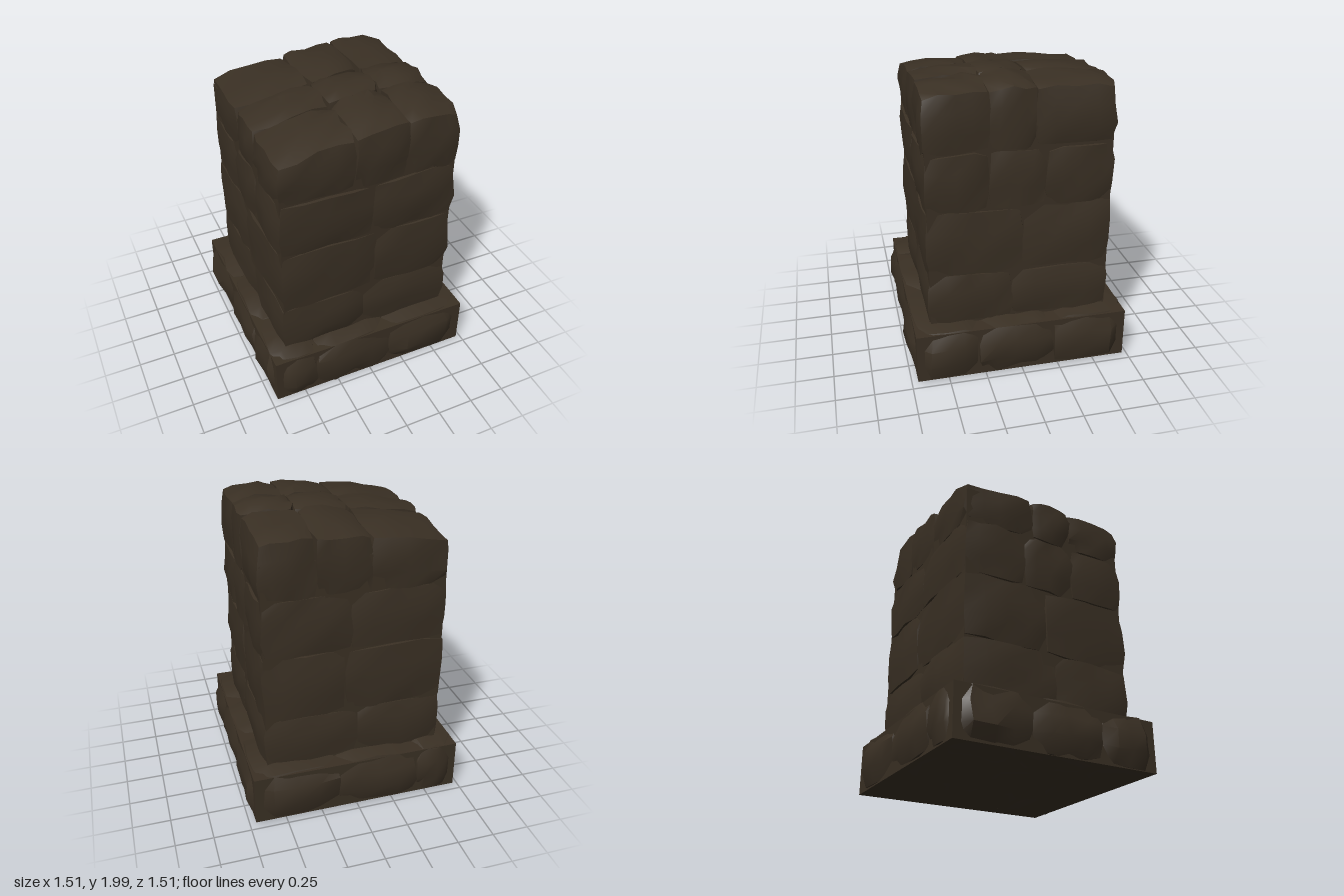
import * as THREE from 'three';
import { mergeVertices, toCreasedNormals } from 'three/addons/utils/BufferGeometryUtils.js';

const stoneMat = new THREE.MeshStandardMaterial({ color: 0x3a3024 });
stoneMat.name = 'dark brown stone';

export function createModel() {
  const group = new THREE.Group();
  group.name = 'stonePedestal';

  let seed = 17;
  const rand = () => {
    seed = (seed * 16807) % 2147483647;
    return (seed / 2147483647) * 2 - 1;
  };

  // One rough stone filling a box, with softened edges and worn faces.
  // range = [min, max] per axis; shape(v) may reshape the finished points.
  function stone(name, xr, yr, zr, round, rough, shape) {
    const min = new THREE.Vector3(xr[0], yr[0], zr[0]);
    const max = new THREE.Vector3(xr[1], yr[1], zr[1]);
    const size = max.clone().sub(min);
    const centre = min.clone().add(max).multiplyScalar(0.5);
    let geo = new THREE.BoxGeometry(size.x, size.y, size.z, 4, 3, 4);
    geo.deleteAttribute('uv');
    geo.deleteAttribute('normal');
    geo = mergeVertices(geo);
    const half = size.clone().multiplyScalar(0.5);
    const tilt = new THREE.Euler(rand() * 0.012, rand() * 0.02, rand() * 0.012);
    const p = geo.attributes.position;
    const v = new THREE.Vector3();
    for (let i = 0; i < p.count; i++) {
      v.fromBufferAttribute(p, i);
      const on = ['x', 'y', 'z'].filter((a) => Math.abs(v[a]) > half[a] - 1e-4);
      if (on.length > 1) {
        const cut = round * (on.length - 1) * 0.6;
        on.forEach((a) => { v[a] -= Math.sign(v[a]) * cut; });
      }
      v.x += rand() * rough;
      v.y += rand() * rough;
      v.z += rand() * rough;
      v.applyEuler(tilt).add(centre);
      if (shape) shape(v);
      p.setXYZ(i, v.x, v.y, v.z);
    }
    const mesh = new THREE.Mesh(toCreasedNormals(geo, 0.6), stoneMat);
    mesh.name = name;
    group.add(mesh);
  }

  // A square layer of stones, split by uneven cuts along x and z
  function course(name, y0, y1, half, xCuts, zCuts, round, rough, shape) {
    const xs = [-half, ...xCuts, half];
    const zs = [-half, ...zCuts, half];
    const lap = 0.014;
    for (let i = 0; i < xs.length - 1; i++) {
      for (let j = 0; j < zs.length - 1; j++) {
        const grow = (a, k) => [
          a[k] - (k > 0 ? lap : 0),
          a[k + 1] + (k < a.length - 2 ? lap : 0),
        ];
        stone(name, grow(xs, i), [y0, y1], grow(zs, j), round, rough, shape);
      }
    }
  }

  // Solid cores closing the joints between stones
  function core(name, w, y0, y1) {
    const mesh = new THREE.Mesh(new THREE.BoxGeometry(w, y1 - y0, w), stoneMat);
    mesh.name = name;
    mesh.position.y = (y0 + y1) / 2;
    group.add(mesh);
  }
  core('plinthCore', 1.42, 0.035, 0.375);
  core('shaftCore', 1.19, 0.3, 1.8);

  // Plinth: wide ring of stones, pulled in near top, bottom and corners
  course('plinthStone', 0.025, 0.4, 0.745, [-0.42, 0.13], [-0.2, 0.3], 0.03, 0.012, (v) => {
    const bulge = 1 - 0.04 * Math.pow(Math.abs((v.y - 0.2) / 0.19), 3);
    const corner = Math.max(0, Math.abs(v.x) + Math.abs(v.z) - 1.36);
    v.x = v.x * bulge - Math.sign(v.x) * corner * 0.4;
    v.z = v.z * bulge - Math.sign(v.z) * corner * 0.4;
    v.y = Math.max(v.y, 0.015);
  });

  // Shaft: three full courses with staggered joints
  course('shaftStone', 0.38, 0.745, 0.618, [-0.02], [0.05], 0.022, 0.01);
  course('shaftStone', 0.725, 1.19, 0.618, [0.06], [-0.02], 0.022, 0.01);
  course('shaftStone', 1.17, 1.575, 0.618, [0.03], [-0.16, 0.2], 0.022, 0.01);

  // Broken cap course: its top rises towards +x and around the middle
  const y0 = 1.555, y1 = 1.9;
  course('capStone', y0, y1, 0.615, [-0.1, 0.25], [-0.1, 0.2], 0.022, 0.011, (v) => {
    const t = THREE.MathUtils.clamp((v.y - y0) / (y1 - y0), 0, 1.1);
    const rise = 0.06 * THREE.MathUtils.smoothstep(v.x, -0.45, 0.3)
      + 0.035 * (1 - Math.min(1, Math.abs(v.z - 0.05) / 0.6))
      - 0.05 * THREE.MathUtils.smoothstep(-v.x, 0.25, 0.6)
      - 0.02 * THREE.MathUtils.smoothstep(v.x, 0.45, 0.62);
    v.y += t * rise;
  });

  return group;
}
